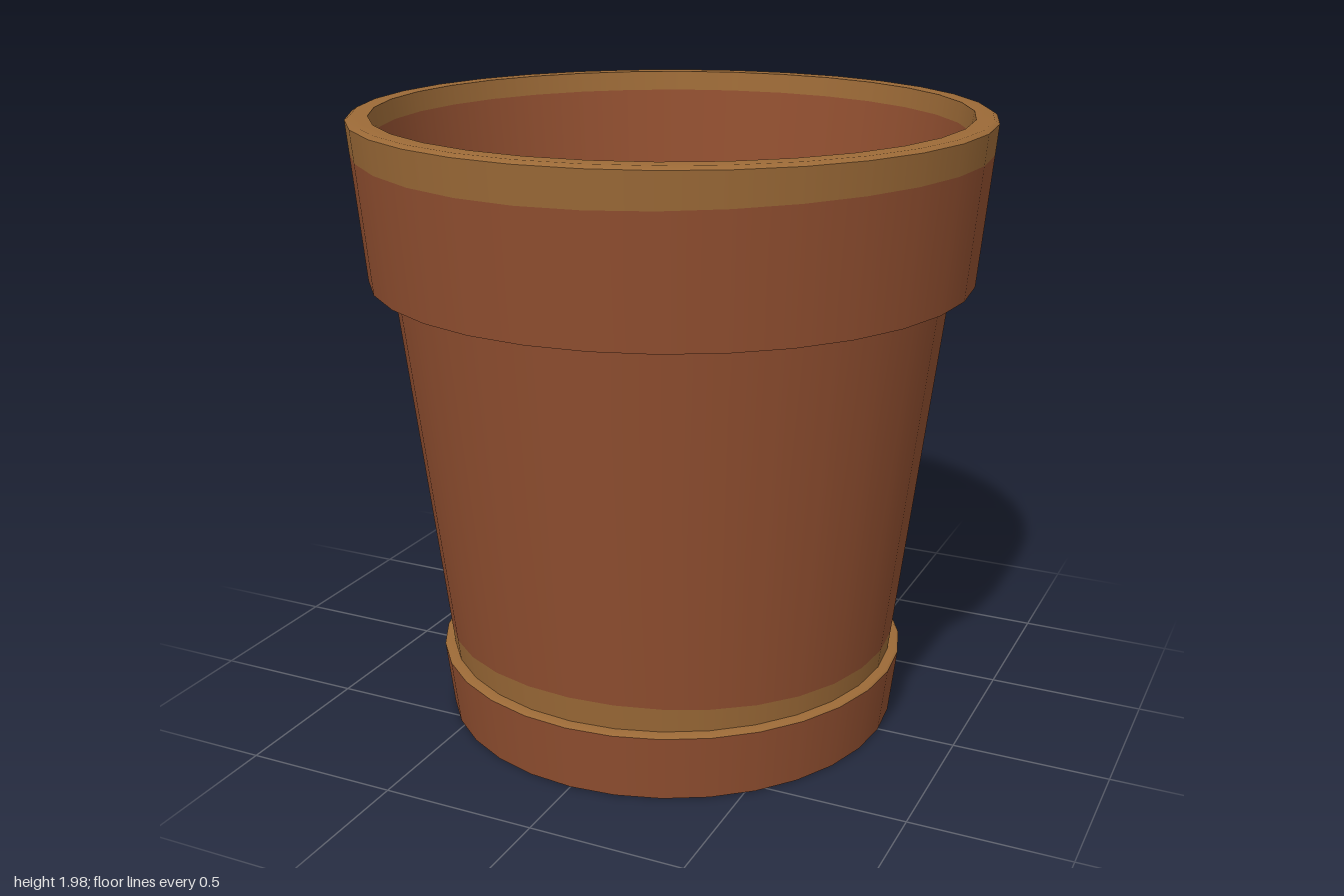
import * as THREE from 'three';

const SEGMENTS = 32;

function material(name, color) {
  const m = new THREE.MeshStandardMaterial({ color });
  m.name = name;
  return m;
}

// Uneven paint edge, a little deeper towards the front
const drip = (angle) => Math.pow(Math.max(0, Math.cos(angle)), 3);

export function createModel() {
  const group = new THREE.Group();
  group.name = 'flowerPot';
  const clay = material('terracotta', 0x914f30);
  const ochre = material('ochreGlaze', 0x9c6a37);
  const earth = material('soil', 0x503932);

  // One turned surface; the profile runs upwards on the outside, downwards on the inside
  function ring(name, mat, profile) {
    const points = profile.map(([r, y]) => new THREE.Vector2(r, y));
    const geometry = new THREE.LatheGeometry(points, SEGMENTS);
    const mesh = new THREE.Mesh(geometry, mat);
    mesh.name = name;
    group.add(mesh);
    return mesh;
  }

  // A cone wall in two colours, meeting at a wavy height edge(angle)
  function paintedWall(names, mats, a, b, edge) {
    const middle = (a[1] + b[1]) / 2;
    const radiusAt = (y) => a[0] + (b[0] - a[0]) * (y - a[1]) / (b[1] - a[1]);
    [[a[1], middle], [middle, b[1]]].forEach((heights, i) => {
      const mesh = ring(names[i], mats[i], heights.map((y) => [radiusAt(y), y]));
      const p = mesh.geometry.attributes.position;
      for (let k = 0; k < p.count; k++) {
        if (Math.abs(p.getY(k) - middle) > 1e-4) continue;
        const angle = Math.atan2(p.getX(k), p.getZ(k));
        const y = edge(angle);
        const r = radiusAt(y);
        p.setXYZ(k, Math.sin(angle) * r, y, Math.cos(angle) * r);
      }
    });
  }

  // Saucer
  ring('saucerBottom', clay, [[0, 0], [0.745, 0]]);
  ring('saucerWall', clay, [[0.745, 0], [0.77, 0.216]]);
  ring('saucerLip', ochre, [[0.77, 0.216], [0.763, 0.223], [0.73, 0.223]]);

  // Tapered body with a glazed foot
  paintedWall(['bodyFootGlaze', 'body'], [ochre, clay],
    [0.736, 0.22], [0.882, 1.472], (t) => 0.286 + 0.022 * drip(t));

  // Collar with a glazed edge
  ring('collarUnderside', clay, [[0.882, 1.472], [0.955, 1.472]]);
  paintedWall(['collar', 'collarGlaze'], [clay, ochre],
    [0.955, 1.472], [1, 1.972], (t) => 1.879 - 0.018 * drip(t));
  ring('rim', ochre, [[1, 1.972], [0.985, 1.982], [0.93, 1.982]]);

  // Inside wall and gently mounded soil
  paintedWall(['innerGlaze', 'innerWall'], [ochre, clay],
    [0.93, 1.982], [0.87, 1.532], () => 1.918);
  const mound = [];
  for (let i = 0; i <= 6; i++) {
    const t = 1 - i / 6;
    mound.push([0.87 * t, 1.532 + 0.06 * (1 - t * t)]);
  }
  ring('soil', earth, mound);

  return group;
}
